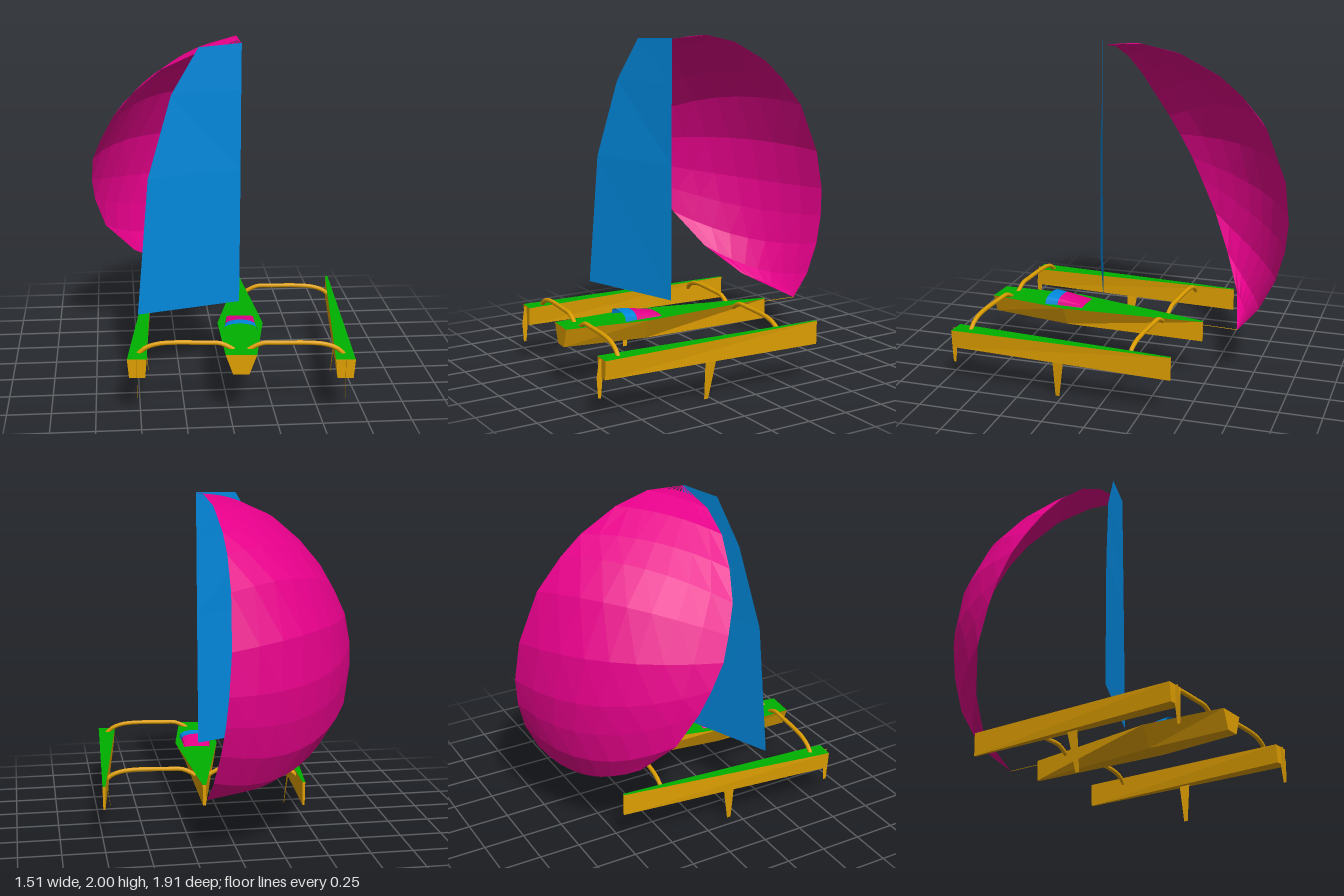
import * as THREE from 'three';

const paint = (name, color) => {
  const m = new THREE.MeshStandardMaterial({ color, side: THREE.DoubleSide });
  m.name = name;
  return m;
};

// Faceted skin over rows of points, each row having the same count
function loft(name, rows, material) {
  const index = [], n = rows[0].length;
  for (let i = 0; i < rows.length - 1; i++) {
    for (let j = 0; j < n - 1; j++) {
      const a = i * n + j, b = a + n;
      index.push(a, b, b + 1, a, b + 1, a + 1);
    }
  }
  let g = new THREE.BufferGeometry();
  g.setAttribute('position', new THREE.Float32BufferAttribute(rows.flat(2), 3));
  g.setIndex(index);
  g = g.toNonIndexed();
  g.computeVertexNormals();
  const mesh = new THREE.Mesh(g, material);
  mesh.name = name;
  return mesh;
}

const vectors = (pts) => pts.map((p) => new THREE.Vector3(...p));
const mix = (a, b, t) => a.map((v, k) => v + (b[k] - v) * t);

function tube(name, pts, radius, material, segments = 20) {
  const curve = new THREE.CatmullRomCurve3(vectors(pts), false, 'centripetal');
  const mesh = new THREE.Mesh(new THREE.TubeGeometry(curve, segments, radius, 8), material);
  mesh.name = name;
  return mesh;
}

// Hull from stations of [z, half top width, half bottom width, top y, bottom y], stern first
function hull(name, stations, wood, deck) {
  const group = new THREE.Group();
  group.name = name;
  const rows = stations.map(([z, t, b, y1, y0]) => [[-t, y1, z], [-b, y0, z], [b, y0, z], [t, y1, z]]);
  const s = rows[0], e = rows[rows.length - 1];
  group.add(
    loft('hullSides', rows, wood),
    loft('deck', rows.map((r) => [r[3], r[0]]), deck),
    loft('transom', [[s[0], s[3]], [s[1], s[2]]], wood),
    loft('bow', [[e[3], e[0]], [e[2], e[1]]], wood)
  );
  return group;
}

export function createModel() {
  const wood = paint('ochre', 0xdf9f00);
  const green = paint('deckGreen', 0x00b000);
  const pink = paint('magenta', 0xe6008a);
  const blue = paint('blue', 0x0088dc);

  const model = new THREE.Group();
  model.name = 'trimaran';

  // Boat platform, turned slightly off the z axis
  const heading = new THREE.Group();
  heading.name = 'platform';
  heading.rotation.y = -0.085;
  const boat = new THREE.Group();
  boat.name = 'boat';
  boat.position.x = 0.132;
  heading.add(boat);
  model.add(heading);

  boat.add(hull('mainHull', [
    [0.875, 0.087, 0.045, 0.37, 0.255],
    [0.375, 0.133, 0.07, 0.37, 0.247],
    [-0.478, 0.01, 0.008, 0.365, 0.24],
  ], wood, green));

  for (const side of [-1, 1]) {
    const label = side > 0 ? 'left' : 'right';
    const float = hull(label + 'Float', [
      [0.87, 0.055, 0.045, 0.342, 0.233],
      [-0.488, 0.008, 0.006, 0.37, 0.231],
    ], wood, green);
    float.position.x = side * 0.577;

    // Daggerboard leaning inboard, and rudder behind the stern
    float.add(
      loft(label + 'Daggerboard', [
        [[0, 0.24, 0.24], [0, 0.24, 0.17]],
        [[-side * 0.025, 0, 0.235], [-side * 0.025, 0, 0.21]],
      ], wood),
      loft(label + 'Rudder', [
        [[0, 0.34, 0.885], [0, 0.34, 0.867]],
        [[0, 0.235, 0.9], [0, 0.235, 0.865]],
        [[0, 0.12, 0.893], [0, 0.12, 0.876]],
      ], wood)
    );
    boat.add(float);

    // Arched cross beams
    for (const [name, z] of [['RearBeam', 0.771], ['FrontBeam', -0.238]]) {
      const lift = z > 0 ? 0 : -0.012;
      const path = [[0.04, 0.36], [0.075, 0.382], [0.12, 0.4], [0.2, 0.402], [0.4, 0.402],
        [0.48, 0.392], [0.54, 0.368], [0.58, 0.33]];
      boat.add(tube(label + name, path.map(([x, y]) => [side * x, y + lift, z]), 0.0135, wood));
    }
  }

  // Cockpit hood: an arched shell, open aft
  const arch = ([z, w, h]) => Array.from({ length: 9 }, (_, j) => {
    const a = (j / 8) * Math.PI;
    return [w * Math.cos(a), 0.37 + h * Math.sin(a) ** 0.7, z];
  });
  const aft = arch([0.51, 0.102, 0.047]);
  const middle = arch([0.433, 0.09, 0.043]);
  const fore = arch([0.27, 0.08, 0.008]);
  boat.add(loft('hoodBand', [aft, middle], blue), loft('hood', [middle, fore], pink));

  // Mainsail, foot to head, luff point then leech point
  model.add(loft('mainsail', [
    [[0.115, 0.43, 0.175], [-0.5, 0.445, 0.4]],
    [[0.12, 1.25, 0.173], [-0.43, 1.25, 0.37]],
    [[0.122, 1.72, 0.172], [-0.29, 1.72, 0.305]],
    [[0.124, 1.99, 0.17], [-0.13, 1.98, 0.25]],
  ], blue));

  // Spinnaker: two edges meeting at head and tack, with cloth bellied between them
  const head = [0.125, 1.985, 0.17], tack = [0.19, 0.345, -0.68];
  const luff = vectors([head, [0.115, 2, -0.07], [0.09, 1.95, -0.29], [0.075, 1.83, -0.52],
    [0.07, 1.72, -0.65], [0.075, 1.54, -0.8], [0.09, 1.24, -0.92], [0.11, 1, -0.95],
    [0.125, 0.83, -0.935], [0.145, 0.66, -0.89], [0.17, 0.48, -0.8], [0.18, 0.41, -0.74], tack]);
  const leech = vectors([head, [-0.15, 1.93, 0.175], [-0.34, 1.84, 0.155], [-0.5, 1.7, 0.11],
    [-0.62, 1.55, 0.06], [-0.695, 1.4, -0.01], [-0.745, 1.27, -0.07], [-0.755, 1.12, -0.15],
    [-0.74, 0.98, -0.22], [-0.68, 0.78, -0.33], [-0.5, 0.57, -0.46], [-0.24, 0.42, -0.58], tack]);
  const belly = [0, 0.03, 0.05, 0.08, 0.11, 0.135, 0.15, 0.155, 0.155, 0.15, 0.13, 0.08, 0];
  const centre = new THREE.Vector3(0.155, 1.17, -0.255);
  const cloth = luff.map((a, i) => {
    const b = leech[i];
    const chord = b.clone().sub(a), length = chord.length();
    const out = a.clone().add(b).multiplyScalar(0.5).sub(centre);
    if (length > 0) out.projectOnPlane(chord.clone().normalize());
    out.normalize();
    return Array.from({ length: 9 }, (_, j) => {
      const t = j / 8;
      return a.clone().lerp(b, t).addScaledVector(out, belly[i] * length * 4 * t * (1 - t)).toArray();
    });
  });

  // Head of the spinnaker: separate tapes fanning out to the cloth
  const collar = cloth[1].map((p) => mix(head, p, 0.5));
  model.add(loft('spinnaker', [collar, ...cloth.slice(1)], pink));
  for (let j = 0; j < 8; j++) {
    const a = mix(collar[j], collar[j + 1], j === 0 ? 0 : 0.2);
    const b = mix(collar[j], collar[j + 1], j === 7 ? 1 : 0.8);
    model.add(loft('headTape', [[head, head], [a, b]], pink));
  }

  // Line from the bow to the spinnaker tack
  model.add(tube('tackLine', [[0.175, 0.345, -0.46], tack], 0.002, wood, 1));

  return model;
}
